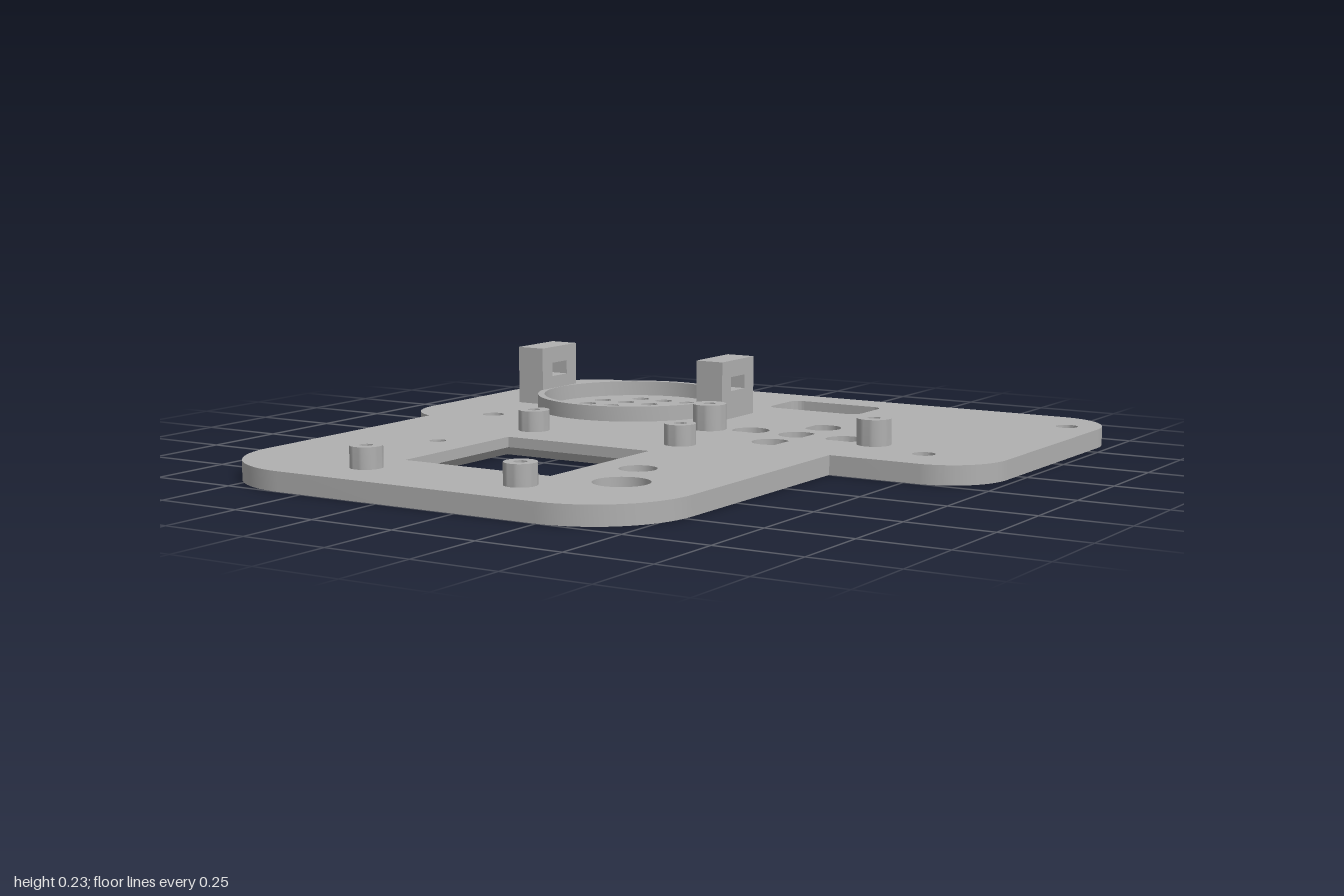
import * as THREE from 'three';
import { toCreasedNormals } from 'three/addons/utils/BufferGeometryUtils.js';

const T = 0.055; // plate thickness
const SPEAKER = { x: -0.42, z: -0.483 };

// Plan shapes use (x, -z), so they lie flat after a quarter turn.
function circle(x, z, r) {
  const p = new THREE.Path();
  p.absarc(x, -z, r, 0, Math.PI * 2, false);
  return p;
}

// Circle with one side cut flat; dir is the plan angle of the flat.
function clippedCircle(x, z, r, dir, flat) {
  const p = new THREE.Path();
  const a = Math.acos(flat / r);
  p.absarc(x, -z, r, dir + a, dir + Math.PI * 2 - a, false);
  p.closePath();
  return p;
}

function roundedRect(x0, x1, y0, y1, r, Type = THREE.Path) {
  const p = new Type(), q = Math.PI / 2;
  p.absarc(x1 - r, y0 + r, r, -q, 0, false);
  p.absarc(x1 - r, y1 - r, r, 0, q, false);
  p.absarc(x0 + r, y1 - r, r, q, 2 * q, false);
  p.absarc(x0 + r, y0 + r, r, 2 * q, 3 * q, false);
  p.closePath();
  return p;
}

function rect(x0, x1, y0, y1, Type = THREE.Path) {
  return new Type([[x0, y0], [x1, y0], [x1, y1], [x0, y1]].map(([x, y]) => new THREE.Vector2(x, y)));
}

function lathe(points, segments) {
  const g = new THREE.LatheGeometry(points.map(([r, y]) => new THREE.Vector2(r, y)), segments);
  return toCreasedNormals(g, 0.6);
}

export function createModel() {
  const group = new THREE.Group();
  const grey = new THREE.MeshStandardMaterial({ color: 0xb0b0b0 });
  grey.name = 'grey plastic';
  const add = (name, geometry, x = 0, y = 0, z = 0) => {
    const mesh = new THREE.Mesh(geometry, grey);
    mesh.name = name;
    mesh.position.set(x, y, z);
    group.add(mesh);
    return mesh;
  };

  // Plate outline: wide rear block with a narrower front block
  const q = Math.PI / 2;
  const s = new THREE.Shape();
  s.moveTo(-0.855, 0.012);
  s.absarc(-0.575, -0.72, 0.28, 2 * q, 3 * q, false);
  s.absarc(0.245, -0.72, 0.28, 3 * q, 4 * q, false);
  s.lineTo(0.525, 0);
  s.absarc(0.79, 0.18, 0.18, -q, 0, false);
  s.absarc(0.79, 0.82, 0.18, 0, q, false);
  s.absarc(-0.79, 0.82, 0.18, q, 2 * q, false);
  s.absarc(-0.79, 0.18, 0.18, 2 * q, 2 * q + Math.acos(0.065 / 0.18), false);
  s.closePath();

  // Screw, lamp and button holes
  for (const [x, z, r] of [
    [-0.84, -0.83, 0.032], [0.87, -0.83, 0.032], [-0.705, -0.135, 0.032], [0.735, -0.155, 0.032],
    [-0.535, 0.365, 0.024], [0.2, 0.46, 0.052], [0.275, 0.655, 0.077],
  ]) s.holes.push(circle(x, z, r));

  // Cross of five direction button holes, each with a flat side
  for (const [x, z, dir, flat] of [
    [0.275, -0.425, Math.PI, 0.043], [0.12, -0.272, -q, 0.038], [0.428, -0.272, -q, 0.038],
    [0.275, -0.27, 0, 0.037], [0.275, -0.116, 0, 0.037],
  ]) s.holes.push(clippedCircle(x, z, 0.054, dir, flat));

  // Speaker grille: five by five without the corners
  for (let i = -2; i <= 2; i++) {
    for (let j = -2; j <= 2; j++) {
      if (Math.abs(i * j) === 4) continue;
      s.holes.push(circle(SPEAKER.x + i * 0.0865, SPEAKER.z + j * 0.0865, 0.026));
    }
  }

  // Rear slot and screen opening
  s.holes.push(roundedRect(-0.075, 0.237, 0.71, 0.885, 0.035));
  const half = 0.238, flare = 0.02, wx = -0.168, wz = 0.44;
  const outer = half + flare;
  s.holes.push(rect(wx - outer, wx + outer, -wz - outer, -wz + outer));

  const plate = new THREE.ExtrudeGeometry(s, { depth: T, bevelEnabled: false, curveSegments: 16 });
  plate.rotateX(-q);
  add('plate', toCreasedNormals(plate, 0.6));

  // Screen opening rim, flared towards the underside
  const d = Math.SQRT2;
  const rim = new THREE.LatheGeometry(
    [[outer, T], [half, T], [half, 0.025], [outer, 0]].map(([r, y]) => new THREE.Vector2(r * d, y)),
    4, Math.PI / 4);
  add('screenRim', toCreasedNormals(rim, 0.3), wx, 0, wz);

  // Speaker ring
  add('speakerRing', lathe(
    [[0.2775, T], [0.2975, T], [0.2975, 0.1], [0.2775, 0.1], [0.2775, T]], 64), SPEAKER.x, 0, SPEAKER.z);

  // Slotted brackets on both sides of the speaker
  const face = rect(-0.0925, 0.0925, T, 0.23, THREE.Shape);
  face.holes.push(rect(-0.04, 0.04, 0.138, 0.18));
  const bracket = new THREE.ExtrudeGeometry(face, { depth: 0.09, bevelEnabled: false });
  bracket.rotateY(q);
  add('rightBracket', bracket, -0.79, 0, SPEAKER.z);
  add('leftBracket', bracket, -0.138, 0, SPEAKER.z);

  // Standoffs with blind screw bores
  const standoff = (r, top) => lathe(
    [[r, T], [r, top], [0.018, top], [0.018, T + 0.002], [0, T + 0.002]], 32);
  const low = standoff(0.045, 0.115), tall = standoff(0.049, 0.13);
  for (const x of [-0.42, 0.08]) {
    for (const z of [0.055, 0.825]) add('screenStandoff', low, x, 0, z);
  }
  for (const x of [0.003, 0.541]) add('buttonStandoff', tall, x, 0, -0.233);

  return group;
}
